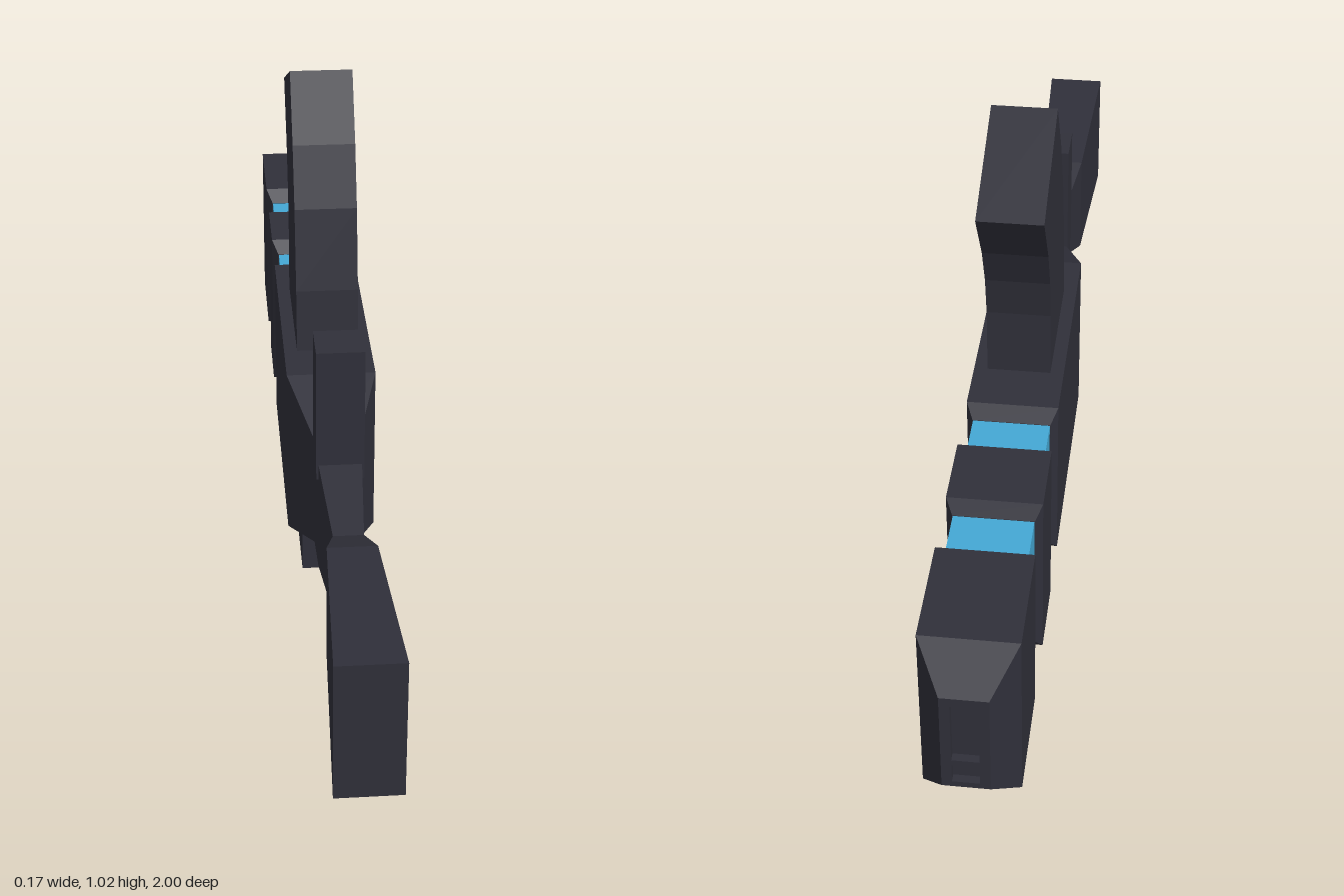
import * as THREE from 'three';

const dark = new THREE.MeshStandardMaterial({ color: 0x30303a, flatShading: true });
dark.name = 'gunmetal';
const blue = new THREE.MeshStandardMaterial({ color: 0x44a8d5, flatShading: true });
blue.name = 'glowBlue';

// Skin rectangular sections [z, halfWidth, bottom, top], listed from front to back
function loft(sections, capBack = true) {
  const pos = [], idx = [];
  for (const [z, w, b, t] of sections) pos.push(-w, b, z, w, b, z, w, t, z, -w, t, z);
  for (let i = 0; i < sections.length - 1; i++) {
    for (let j = 0; j < 4; j++) {
      const a = i * 4 + j, b = i * 4 + (j + 1) % 4;
      idx.push(a, a + 4, b, b, a + 4, b + 4);
    }
  }
  idx.push(0, 1, 2, 0, 2, 3);
  const n = pos.length / 3 - 4;
  if (capBack) idx.push(n, n + 2, n + 1, n, n + 3, n + 2);
  const geo = new THREE.BufferGeometry();
  geo.setAttribute('position', new THREE.Float32BufferAttribute(pos, 3));
  geo.setIndex(idx);
  const flat = geo.toNonIndexed();
  flat.computeVertexNormals();
  return flat;
}

function rect(Type, w, b, t) {
  return new Type([[-w, b], [w, b], [w, t], [-w, t]].map(p => new THREE.Vector2(...p)));
}

export function createModel() {
  const group = new THREE.Group();
  const add = (name, geo, mat = dark) => {
    const mesh = new THREE.Mesh(geo, mat);
    mesh.name = name;
    group.add(mesh);
    return mesh;
  };
  // Box given by half width, bottom, top, front z and back z
  const block = (name, w, b, t, z0, z1, mat) => {
    const geo = new THREE.BoxGeometry(2 * w, t - b, z0 - z1);
    geo.translate(0, (b + t) / 2, (z0 + z1) / 2);
    return add(name, geo, mat);
  };

  // Stock, grip and main body in one tapering run
  add('stockAndBody', loft([
    [1, 0.06, 0.18, 0.453],
    [0.65, 0.045, 0.2, 0.432],
    [0.57, 0.028, 0.233, 0.4],
    [0.38, 0.041, 0.2, 0.432],
    [0.3, 0.043, 0.2, 0.435],
    [0.155, 0.087, 0.14, 0.494],
    [-0.325, 0.087, 0.14, 0.494],
    [-0.345, 0.074, 0.165, 0.467],
  ]));

  // Barrel segments with chamfered ends
  add('barrelSegment', loft([
    [-0.43, 0.074, 0.165, 0.467],
    [-0.45, 0.087, 0.14, 0.494],
    [-0.595, 0.087, 0.14, 0.494],
    [-0.612, 0.074, 0.165, 0.467],
  ]));
  add('muzzle', loft([
    [-0.702, 0.074, 0.165, 0.467],
    [-0.724, 0.087, 0.14, 0.494],
    [-0.932, 0.087, 0.14, 0.494],
    [-1, 0.042, 0.21, 0.424],
  ], false));

  // Muzzle face with two recessed slots
  const face = rect(THREE.Shape, 0.042, 0.21, 0.424);
  face.holes.push(rect(THREE.Path, 0.024, 0.275, 0.405), rect(THREE.Path, 0.024, 0.222, 0.262));
  const faceGeo = new THREE.ExtrudeGeometry(face, { depth: 0.02, bevelEnabled: false });
  faceGeo.translate(0, 0, -1);
  add('muzzleFace', faceGeo);
  block('slotBacking', 0.04, 0.212, 0.422, -0.98, -0.985);

  // Glowing bands between the segments
  for (const [z0, z1] of [[-0.34, -0.435], [-0.607, -0.707]]) {
    block('glowBand', 0.073, 0.166, 0.466, z0, z1, blue);
  }

  // Curved magazine, drawn as (z, y) and extruded across x
  const profile = [
    [0.06, 0.48], [0.045, 0.62], [0.008, 0.78], [-0.04, 0.895], [-0.115, 1.02],
    [-0.345, 0.918], [-0.27, 0.8], [-0.235, 0.715], [-0.22, 0.63], [-0.22, 0.48],
  ];
  const magShape = new THREE.Shape(profile.map(([z, y]) => new THREE.Vector2(-z, y)));
  const mag = new THREE.ExtrudeGeometry(magShape, { depth: 0.122, bevelEnabled: false });
  mag.translate(0, 0, -0.061);
  mag.rotateY(Math.PI / 2);
  add('magazine', mag);

  // Rear post, and the lower rail on its neck
  block('post', 0.045, 0.4, 0.67, 0.385, 0.3);
  block('railNeck', 0.055, 0.08, 0.15, -0.025, -0.14);
  block('rail', 0.056, 0, 0.09, 0.11, -0.385);

  return group;
}
